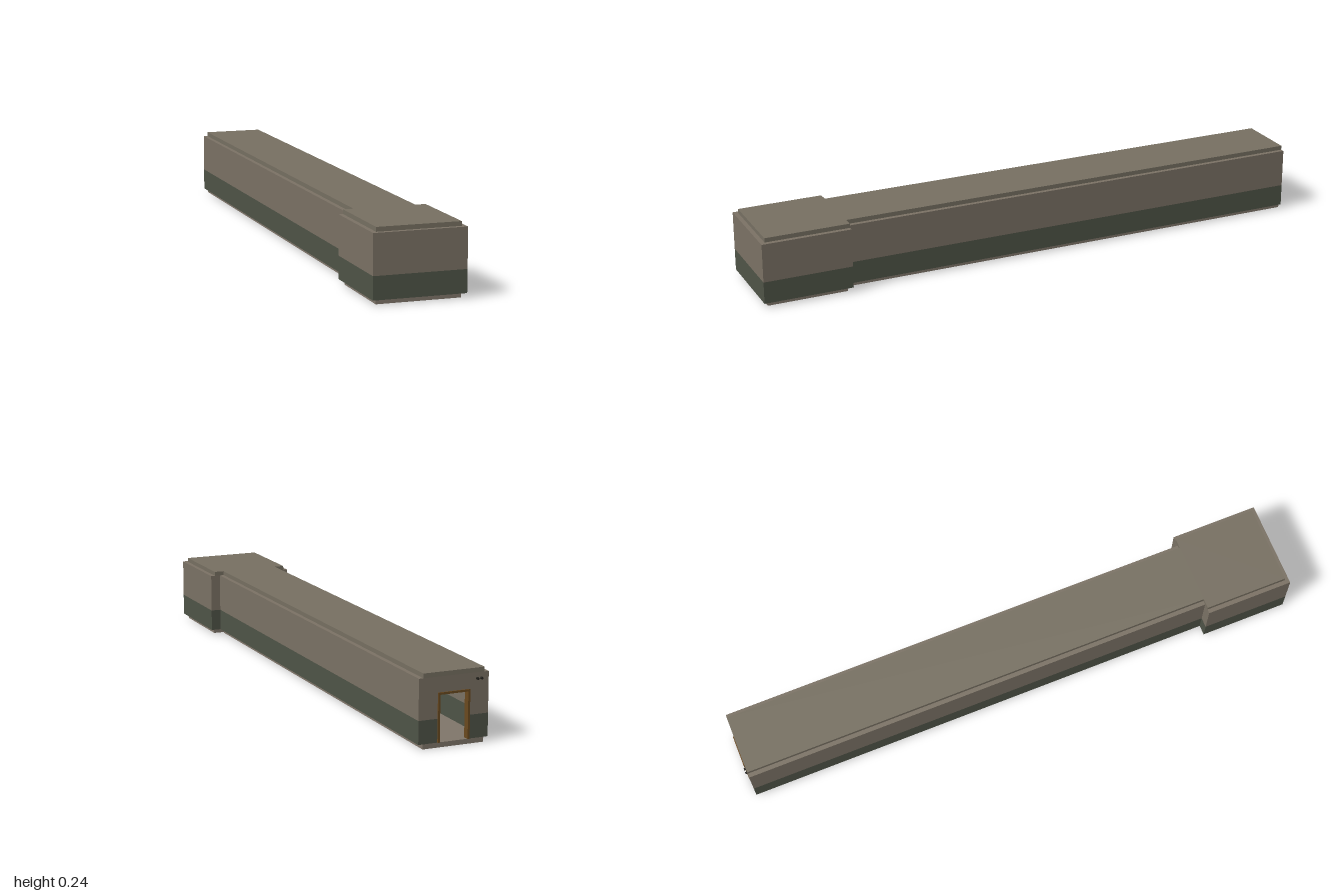
import * as THREE from 'three';

const mat = (name, color) => {
  const m = new THREE.MeshStandardMaterial({ color });
  m.name = name;
  return m;
};

export function createModel() {
  const plaster = mat('plaster', 0x7b7265);
  const dado = mat('green dado', 0x4f5447);
  const roofing = mat('roofing', 0x777062);
  const flooring = mat('flooring', 0x80766a);
  const wood = mat('brown wood', 0x6b4a1f);
  const dark = mat('dark metal', 0x25241f);

  const model = new THREE.Group();
  model.name = 'corridorAndRoom';

  // Box given by its limits on each axis
  const box = (parent, name, material, [x0, x1], [y0, y1], [z0, z1]) => {
    const mesh = new THREE.Mesh(new THREE.BoxGeometry(x1 - x0, y1 - y0, z1 - z0), material);
    mesh.position.set((x0 + x1) / 2, (y0 + y1) / 2, (z0 + z1) / 2);
    mesh.name = name;
    parent.add(mesh);
    return mesh;
  };

  const BASE = 0.016, DADO = 0.092, TOP = 0.225, ROOF = 0.24, T = 0.015;
  const HALL = 0.12, ROOM = 0.155, BACK = -0.993, JOIN = 0.69;
  const DOOR_HALF = 0.048, DOOR_TOP = 0.168, TRIM = 0.007;

  // Two-tone wall: dark lower band, plaster above
  const wall = (name, x, z) => {
    const g = new THREE.Group();
    g.name = name;
    box(g, name + 'Dado', dado, x, [BASE, DADO], z);
    box(g, name + 'Plaster', plaster, x, [DADO, TOP], z);
    model.add(g);
  };

  // Cross wall with a framed doorway in the middle
  const doorWall = (name, half, z) => {
    const edge = DOOR_HALF + TRIM, head = DOOR_TOP + TRIM;
    const frameZ = [z[0] - 0.004, z[1] + 0.004];
    const frame = new THREE.Group();
    frame.name = name + 'DoorFrame';
    wall(name + 'Left', [edge, half], z);
    wall(name + 'Right', [-half, -edge], z);
    box(model, name + 'Lintel', plaster, [-edge, edge], [head, TOP], z);
    for (const s of [-1, 1]) {
      const xs = [s * DOOR_HALF, s * edge].sort((a, b) => a - b);
      box(frame, 'jamb', wood, xs, [BASE, head], frameZ);
    }
    box(frame, 'doorHead', wood, [-DOOR_HALF, DOOR_HALF], [DOOR_TOP, head], frameZ);
    model.add(frame);
  };

  // Long side walls of corridor and room
  for (const s of [-1, 1]) {
    const side = s > 0 ? 'left' : 'right';
    const span = (half) => (s > 0 ? [half - T, half] : [-half, T - half]);
    wall(side + 'CorridorWall', span(HALL), [BACK + T, JOIN]);
    wall(side + 'RoomWall', span(ROOM), [JOIN + T, 1 - T]);
  }
  wall('frontWall', [-ROOM, ROOM], [1 - T, 1]);
  doorWall('backWall', HALL, [BACK, BACK + T]);
  doorWall('roomPartition', ROOM, [JOIN, JOIN + T]);

  // Floor slabs, with a narrow gap under the partition
  const hall = [T - HALL, HALL - T], room = [T - ROOM, ROOM - T];
  box(model, 'corridorFloor', flooring, hall, [0, BASE], [BACK, JOIN + 0.004]);
  box(model, 'roomFloor', flooring, room, [0, BASE], [JOIN + T, 1 - T]);

  // Roof slabs, set in from the wall faces
  box(model, 'corridorRoof', roofing, hall, [TOP, ROOF], [BACK, JOIN]);
  box(model, 'roomRoof', roofing, room, [TOP, ROOF], [JOIN, 1 - T]);

  // Pair of small fittings beside the back doorway
  for (const x of [-0.08, -0.094]) {
    const knob = new THREE.Mesh(new THREE.CylinderGeometry(0.004, 0.004, 0.007, 12), dark);
    knob.rotation.x = Math.PI / 2;
    knob.position.set(x, 0.206, -0.9965);
    knob.name = 'wallFitting';
    model.add(knob);
  }

  return model;
}
